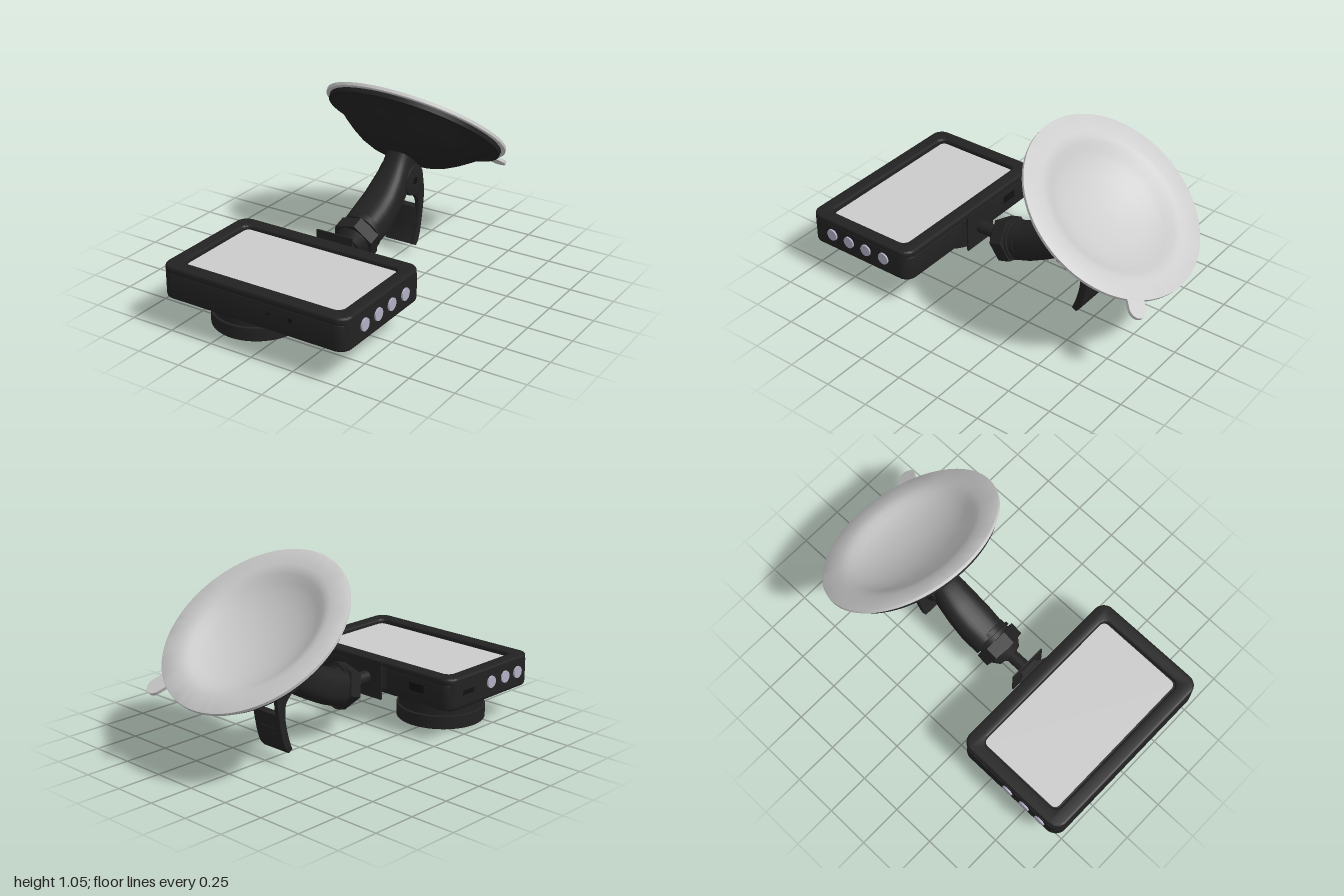
import * as THREE from 'three';
import { toCreasedNormals } from 'three/addons/utils/BufferGeometryUtils.js';

const mat = (color) => new THREE.MeshStandardMaterial({ color });
const dark = mat(0x222222), black = mat(0x121212), rubber = mat(0xcccccc);
const screenGrey = mat(0xcccccc), buttonGrey = mat(0xb0b0c4), glass = mat(0x999999);
const V2 = (x, y) => new THREE.Vector2(x, y);

function add(parent, name, geometry, material, x = 0, y = 0, z = 0) {
  const mesh = new THREE.Mesh(geometry, material);
  mesh.name = name;
  mesh.position.set(x, y, z);
  parent.add(mesh);
  return mesh;
}

const lathe = (pts, segs = 72) =>
  toCreasedNormals(new THREE.LatheGeometry(pts.map((p) => V2(...p)), segs), 0.5);

// Rounded rectangle centred on the origin
function roundedRect(w, h, r, Type = THREE.Shape) {
  const s = new Type(), x = w / 2 - r, y = h / 2 - r;
  s.absarc(x, y, r, 0, Math.PI / 2);
  s.absarc(-x, y, r, Math.PI / 2, Math.PI);
  s.absarc(-x, -y, r, Math.PI, Math.PI * 1.5);
  s.absarc(x, -y, r, Math.PI * 1.5, Math.PI * 2);
  s.closePath();
  return s;
}

// Horizontal plate from y0 to y1 with bevel b
function plate(shape, y0, y1, b) {
  const g = new THREE.ExtrudeGeometry(shape, {
    depth: y1 - y0 - 2 * b, bevelEnabled: b > 0, bevelSize: b, bevelThickness: b,
    bevelSegments: 3, curveSegments: 10,
  });
  g.rotateX(-Math.PI / 2).translate(0, y0 + b, 0);
  return toCreasedNormals(g, 0.6);
}

// Side profile drawn in (z, y), extruded across x
function sideExtrude(shape, width) {
  const b = 0.006;
  const g = new THREE.ExtrudeGeometry(shape, {
    depth: width - 2 * b, bevelSize: b, bevelOffset: -b, bevelThickness: b, bevelSegments: 2, curveSegments: 16,
  });
  g.translate(0, 0, b - width / 2).rotateY(-Math.PI / 2);
  return toCreasedNormals(g, 0.6);
}

// Loft of rounded sections, each given by its top and bottom [z, y] and half width
function loft(stations, n = 32) {
  const pos = [], idx = [];
  const sq = (v) => Math.sign(v) * Math.abs(v) ** 0.75;
  for (const [zt, yt, zb, yb, hw] of stations) {
    for (let i = 0; i < n; i++) {
      const a = (i / n) * Math.PI * 2, s = sq(Math.sin(a));
      pos.push(hw * sq(Math.cos(a)), (yt + yb) / 2 + s * (yt - yb) / 2, (zt + zb) / 2 + s * (zt - zb) / 2);
    }
  }
  for (let j = 0; j < stations.length - 1; j++) {
    for (let i = 0; i < n; i++) {
      const a = j * n + i, b = j * n + (i + 1) % n;
      idx.push(a, b + n, b, a, a + n, b + n);
    }
  }
  const g = new THREE.BufferGeometry();
  g.setAttribute('position', new THREE.Float32BufferAttribute(pos, 3));
  g.setIndex(idx);
  return toCreasedNormals(g, 0.8);
}

function makeCamera() {
  const g = new THREE.Group();
  g.name = 'cameraBody';
  const zc = 0.655;

  // Case, with a raised bezel around the sunken screen
  add(g, 'case', plate(roundedRect(1.072, 0.66, 0.05), 0.18, 0.332, 0.015), dark, 0, 0, zc);
  add(g, 'sideBand', plate(roundedRect(1.11, 0.67, 0.055), 0.205, 0.33, 0), dark, 0, 0, zc);
  const bezel = roundedRect(1.08, 0.666, 0.055);
  bezel.holes.push(roundedRect(0.975, 0.552, 0.05, THREE.Path));
  add(g, 'bezel', plate(bezel, 0.318, 0.36, 0.012), dark, 0, 0, zc);
  add(g, 'screen', plate(roundedRect(0.938, 0.515, 0.03), 0.325, 0.337, 0), screenGrey, 0, 0, zc - 0.005);

  // Round buttons on both sides
  const button = toCreasedNormals(new THREE.CylinderGeometry(0.033, 0.036, 0.03, 24), 0.5);
  button.rotateZ(Math.PI / 2);
  for (const z of [0.84, 0.72, 0.6, 0.475]) {
    add(g, 'leftButton', button, buttonGrey, 0.549, 0.275, z).rotation.y = Math.PI;
  }
  for (const z of [0.65, 0.77, 0.88]) add(g, 'rightButton', button, buttonGrey, -0.549, 0.275, z);

  // Front pinholes and connector slots
  for (const [x, r] of [[0.11, 0.008], [0.24, 0.013]]) {
    add(g, 'pinhole', new THREE.CylinderGeometry(r, r, 0.004, 16), black, x, 0.272, 0.999).rotation.x = Math.PI / 2;
  }
  add(g, 'rearPort', new THREE.BoxGeometry(0.1, 0.045, 0.006), black, -0.32, 0.27, 0.311);
  add(g, 'sideSlot', new THREE.BoxGeometry(0.006, 0.025, 0.09), black, -0.554, 0.27, 0.46);

  // Stepped lens barrel facing down
  add(g, 'lensBarrel', lathe([
    [0, 0.03], [0.122, 0.03], [0.135, 0.008], [0.222, 0.006], [0.228, 0], [0.244, 0], [0.247, 0.004],
    [0.247, 0.073], [0.234, 0.076], [0.234, 0.11], [0.241, 0.114], [0.241, 0.148], [0.232, 0.152], [0.232, 0.19],
  ]), dark, -0.205, 0, zc);
  add(g, 'lensGlass', lathe([[0, 0.008], [0.04, 0.01], [0.08, 0.016], [0.11, 0.025], [0.122, 0.031]]),
    glass, -0.205, 0, zc);
  return g;
}

function makeArm() {
  const g = new THREE.Group();
  g.name = 'mountArm';

  // Bracket, thin flange and ball stem
  const foot = new THREE.Shape([V2(-0.12, 0), V2(0.12, 0), V2(0.1, 0.018), V2(0.06, 0.035), V2(0.045, 0.06), V2(-0.045, 0.06),
    V2(-0.06, 0.035), V2(-0.1, 0.018)]);
  add(g, 'bracketFoot', plate(foot, 0.21, 0.33, 0), dark, 0, 0, 0.322);
  add(g, 'flange', new THREE.BoxGeometry(0.22, 0.215, 0.009), dark, 0, 0.268, 0.264);
  add(g, 'ballStem', new THREE.CylinderGeometry(0.036, 0.036, 0.17, 24), dark, 0, 0.267, 0.19).rotation.x = Math.PI / 2;
  add(g, 'ball', new THREE.SphereGeometry(0.065, 28, 20), dark, 0, 0.267, 0.1);

  // Clamping nut
  const nut = new THREE.Group();
  nut.name = 'clampNut';
  nut.position.set(0, 0.268, 0.055);
  nut.rotation.x = -1.265;
  g.add(nut);
  add(nut, 'nutCollar', lathe([[0, -0.085], [0.07, -0.085], [0.1, -0.045], [0.1, 0.09], [0, 0.09]], 40), dark);
  const hex = toCreasedNormals(new THREE.CylinderGeometry(0.128, 0.128, 0.075, 6), 0.5);
  add(nut, 'hexNut', hex, dark, 0, -0.004, 0).rotation.y = Math.PI / 12;
  add(nut, 'nutRing', lathe([[0.09, 0.045], [0.112, 0.045], [0.112, 0.06], [0.09, 0.06]], 40), dark);

  // Curved arm leading into the cup
  add(g, 'arm', loft([
    [0.02, 0.375, -0.01, 0.175, 0.002], [0.02, 0.375, -0.01, 0.175, 0.105], [-0.1, 0.42, -0.12, 0.215, 0.11],
    [-0.18, 0.46, -0.22, 0.265, 0.105], [-0.26, 0.525, -0.31, 0.315, 0.095], [-0.31, 0.575, -0.4, 0.38, 0.082],
    [-0.345, 0.628, -0.47, 0.45, 0.078], [-0.37, 0.68, -0.52, 0.53, 0.078],
  ]), dark, -0.012, 0, 0);
  return g;
}

function makeLever() {
  const g = new THREE.Group();
  g.name = 'lockLever';
  g.position.x = -0.015;

  // Two cheeks around the pivot, continuing as the edges of the handle
  const cheek = new THREE.Shape();
  cheek.moveTo(-0.5, 0.455);
  cheek.splineThru([V2(-0.514, 0.34), V2(-0.49, 0.18), V2(-0.465, 0.09), V2(-0.435, 0.05)]);
  cheek.lineTo(-0.408, 0.065);
  cheek.splineThru([V2(-0.435, 0.14), V2(-0.455, 0.24), V2(-0.45, 0.32), V2(-0.41, 0.367)]);
  cheek.absarc(-0.41, 0.455, 0.088, -Math.PI / 2, Math.PI, false);
  const cheekGeo = sideExtrude(cheek, 0.028);
  for (const s of [-1, 1]) {
    add(g, 'leverCheek', cheekGeo, dark, s * 0.082, 0, 0);
    add(g, 'pivotPin', new THREE.CylinderGeometry(0.02, 0.02, 0.01, 20), black, s * 0.096, 0.455, -0.41).rotation.z = Math.PI / 2;
  }

  // Handle below the opening, with grip ribs
  const grip = new THREE.Shape();
  grip.moveTo(-0.505, 0.27);
  grip.splineThru([V2(-0.49, 0.18), V2(-0.465, 0.09), V2(-0.435, 0.05)]);
  grip.lineTo(-0.408, 0.065);
  grip.splineThru([V2(-0.435, 0.14), V2(-0.455, 0.27)]);
  add(g, 'leverGrip', sideExtrude(grip, 0.15), dark);
  for (let i = 0; i < 4; i++) {
    const rib = add(g, 'gripRib', new THREE.BoxGeometry(0.11, 0.008, 0.012), dark, 0, 0.1 + i * 0.03, -0.462 - i * 0.009);
    rib.rotation.x = 0.28;
  }
  return g;
}

function makeSuctionCup() {
  const g = new THREE.Group();
  g.name = 'suctionCup';
  g.position.set(-0.02, 0.734, -0.584);
  g.rotation.x = -0.66;

  // Domed housing
  add(g, 'cupHousing', lathe([
    [0, -0.24], [0.12, -0.23], [0.2, -0.212], [0.26, -0.188], [0.32, -0.152], [0.38, -0.108], [0.43, -0.066],
    [0.468, -0.04], [0.478, -0.05], [0.498, -0.047], [0.5, -0.02], [0.4, -0.02],
  ], 96), dark);

  // Rubber disc with a shallow hollow
  add(g, 'suctionDisc', lathe([
    [0.4, -0.022], [0.519, -0.022], [0.523, -0.018], [0.523, -0.002], [0.519, 0], [0.42, -0.002], [0.395, -0.007],
    [0.37, -0.018], [0.335, -0.04], [0.29, -0.063], [0.22, -0.088], [0.12, -0.108], [0, -0.116],
  ], 96), rubber);

  // Pull tab on the rim
  const tab = new THREE.Shape();
  tab.moveTo(-0.05, 0);
  tab.lineTo(0.05, 0);
  tab.absarc(0, 0.1, 0.05, 0, Math.PI);
  tab.closePath();
  const angle = Math.atan2(0.33, 0.468);
  add(g, 'pullTab', plate(tab, -0.02, -0.002, 0), rubber, Math.sin(angle) * 0.47, 0, -Math.cos(angle) * 0.47).rotation.y = -angle;
  return g;
}

export function createModel() {
  const model = new THREE.Group();
  model.name = 'dashCamera';
  model.add(makeCamera(), makeArm(), makeLever(), makeSuctionCup());
  return model;
}
